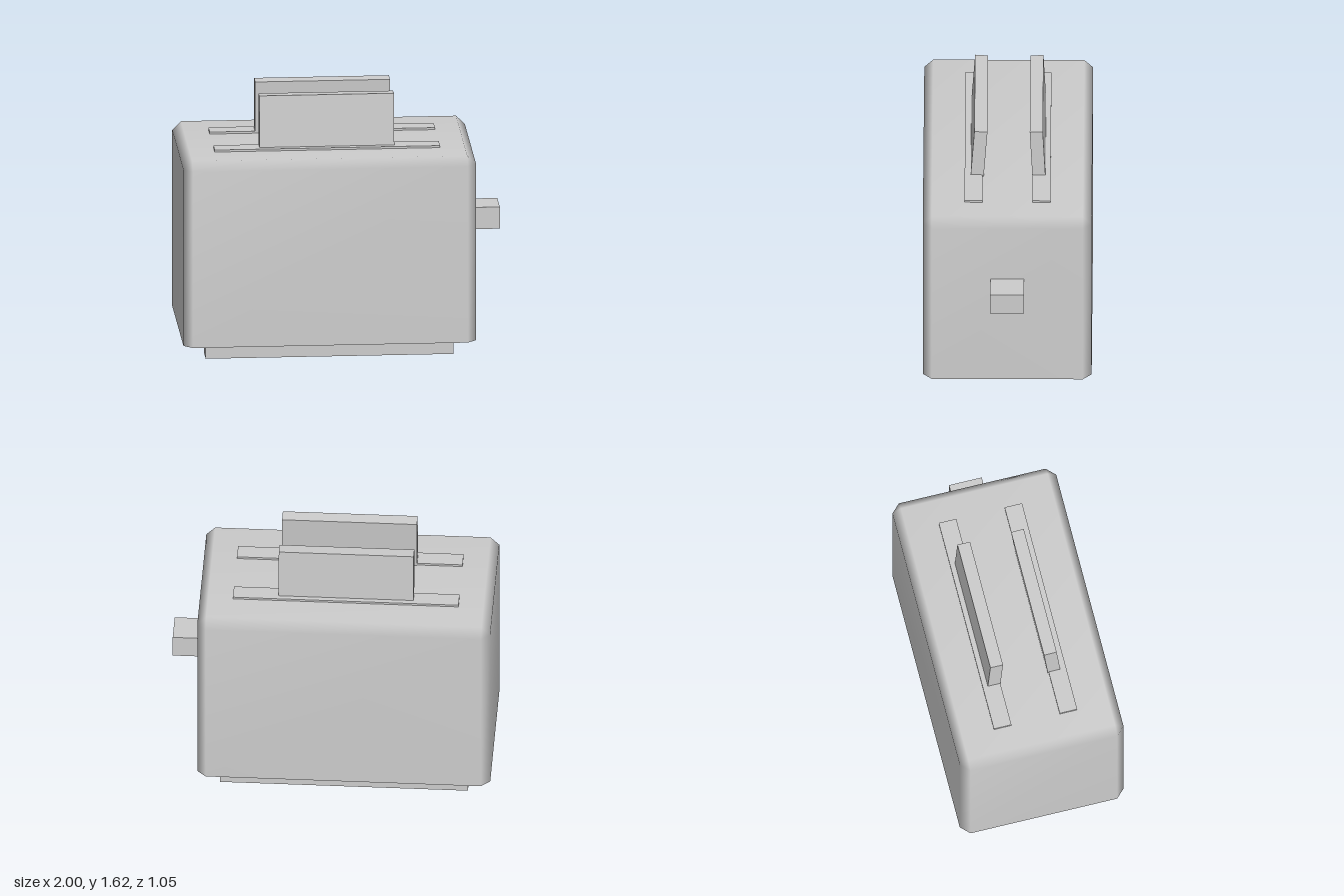
import * as THREE from 'three';

// Housing: chamfered uprights and top rim, sharp flat underside
function housingGeometry(w, d, y0, y1, b) {
  const octagon = [
    [w - b, d], [w, d - b], [w, b - d], [w - b, -d],
    [b - w, -d], [-w, b - d], [-w, d - b], [b - w, d],
  ];
  const top = [[w - b, d - b], [w - b, b - d], [b - w, b - d], [b - w, d - b]];
  const pos = [];
  const ring = (points, y) => points.forEach(([x, z]) => pos.push(x, y, z));
  ring(octagon, y0);
  ring(octagon, y1 - b);
  ring(top, y1);
  ring(octagon, y0); // separate underside, so its edge stays sharp

  const index = [16, 17, 18, 16, 18, 19];
  for (let i = 0; i < 8; i++) {
    const j = (i + 1) % 8;
    const ti = 16 + (i >> 1), tj = 16 + (j >> 1);
    index.push(i, j, j + 8, i, j + 8, i + 8);
    index.push(i + 8, j + 8, tj);
    if (ti !== tj) index.push(i + 8, tj, ti);
    if (i > 0 && i < 7) index.push(20, 20 + j, 20 + i);
  }
  const g = new THREE.BufferGeometry();
  g.setAttribute('position', new THREE.Float32BufferAttribute(pos, 3));
  g.setIndex(index);
  g.computeVertexNormals();
  return g;
}

export function createModel() {
  const grey = new THREE.MeshStandardMaterial({ color: 0xcccccc });
  grey.name = 'light grey';
  const model = new THREE.Group();
  model.name = 'toaster';
  const cx = -0.0875;

  const add = (name, geometry, x, y, z) => {
    const mesh = new THREE.Mesh(geometry, grey);
    mesh.name = name;
    mesh.position.set(x, y, z);
    model.add(mesh);
    return mesh;
  };
  const box = (name, w, h, d, x, y, z) => add(name, new THREE.BoxGeometry(w, h, d), x, y, z);

  add('housing', housingGeometry(0.9125, 0.525, 0.09, 1.28, 0.055), cx, 0, 0);
  box('lever', 0.2, 0.14, 0.21, 0.9, 0.775, 0);

  // Feet and slot plates, one pair front and back
  for (const [side, s] of [['front', 1], ['back', -1]]) {
    box(side + 'Foot', 1.545, 0.09, 0.138, cx, 0.045, s * 0.386);
    box(side + 'Slot', 1.405, 0.024, 0.112, cx, 1.281, s * 0.211);
  }

  // Bread slices leaning towards each other
  const slice = (name, z, tilt) => {
    const g = new THREE.BoxGeometry(0.84, 0.75, 0.081).translate(0, -0.375, 0);
    add(name, g, cx, 1.617, z).rotation.x = tilt;
  };
  slice('frontBread', 0.166, -0.07);
  slice('backBread', -0.178, 0.05);

  return model;
}
